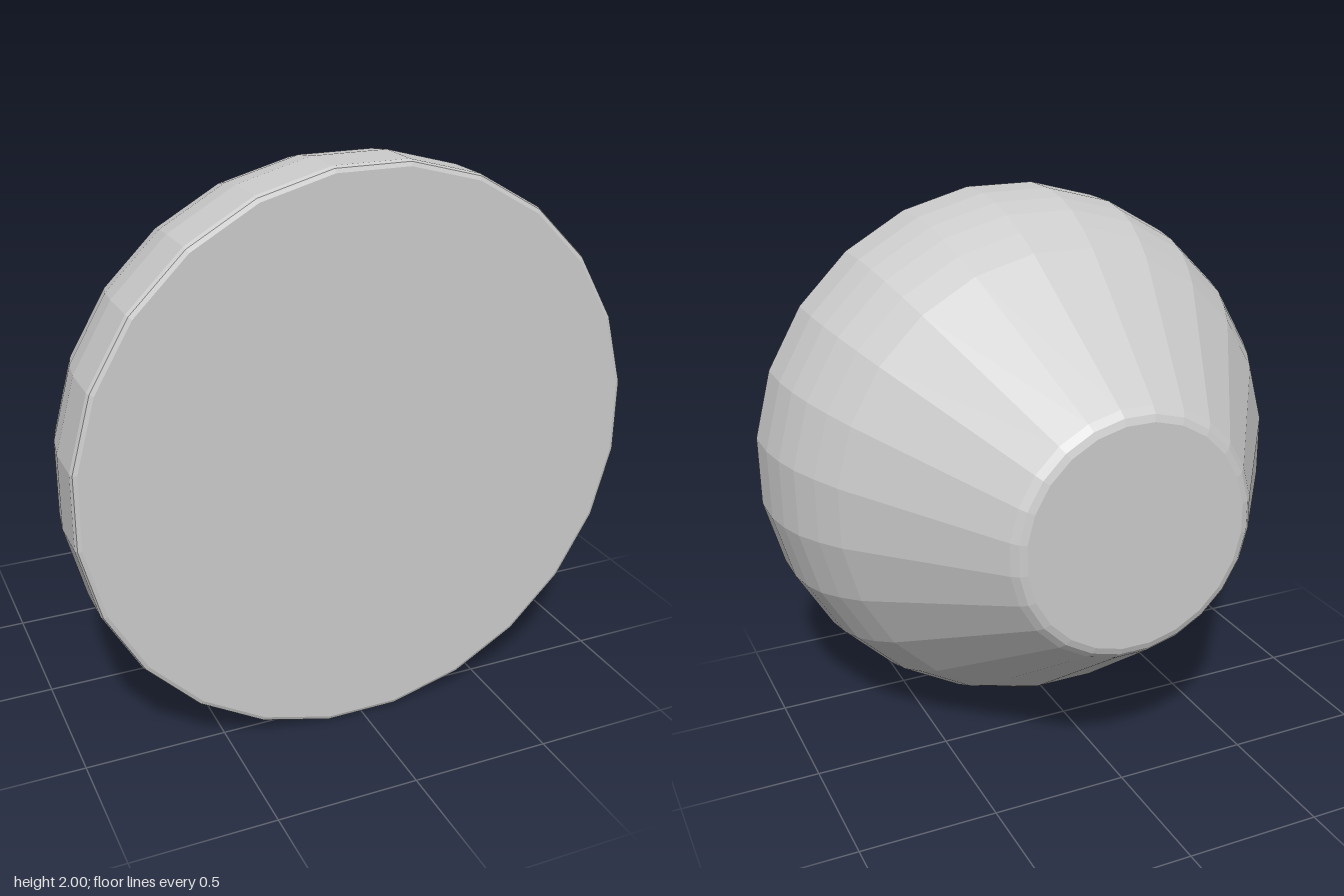
import * as THREE from 'three';

const SIDES = 24;

export function createModel() {
  const group = new THREE.Group();
  group.name = 'taperedKnob';

  // Profile from the small back face to the wide front face: [radius to the flats, z]
  const profile = [
    [0, -0.587], [0.405, -0.587], [0.43, -0.578], [0.453, -0.555],
    [0.855, 0], [0.91, 0.1], [0.955, 0.2], [0.983, 0.3], [1, 0.41],
    [1, 0.567], [0.994, 0.581], [0.98, 0.587], [0, 0.587],
  ];

  // Corner radius is a little larger than the distance to the flats
  const corner = 1 / Math.cos(Math.PI / SIDES);
  const points = profile.map(([r, z]) => new THREE.Vector2(r * corner, z));

  // Turn the profile with a flat on top, then lay its axis along z
  const geometry = new THREE.LatheGeometry(points, SIDES, Math.PI / SIDES);
  geometry.rotateX(Math.PI / 2);

  const body = new THREE.Mesh(
    geometry,
    new THREE.MeshStandardMaterial({ color: 0xcccccc, flatShading: true })
  );
  body.name = 'body';
  body.position.y = 1;
  group.add(body);
  return group;
}
